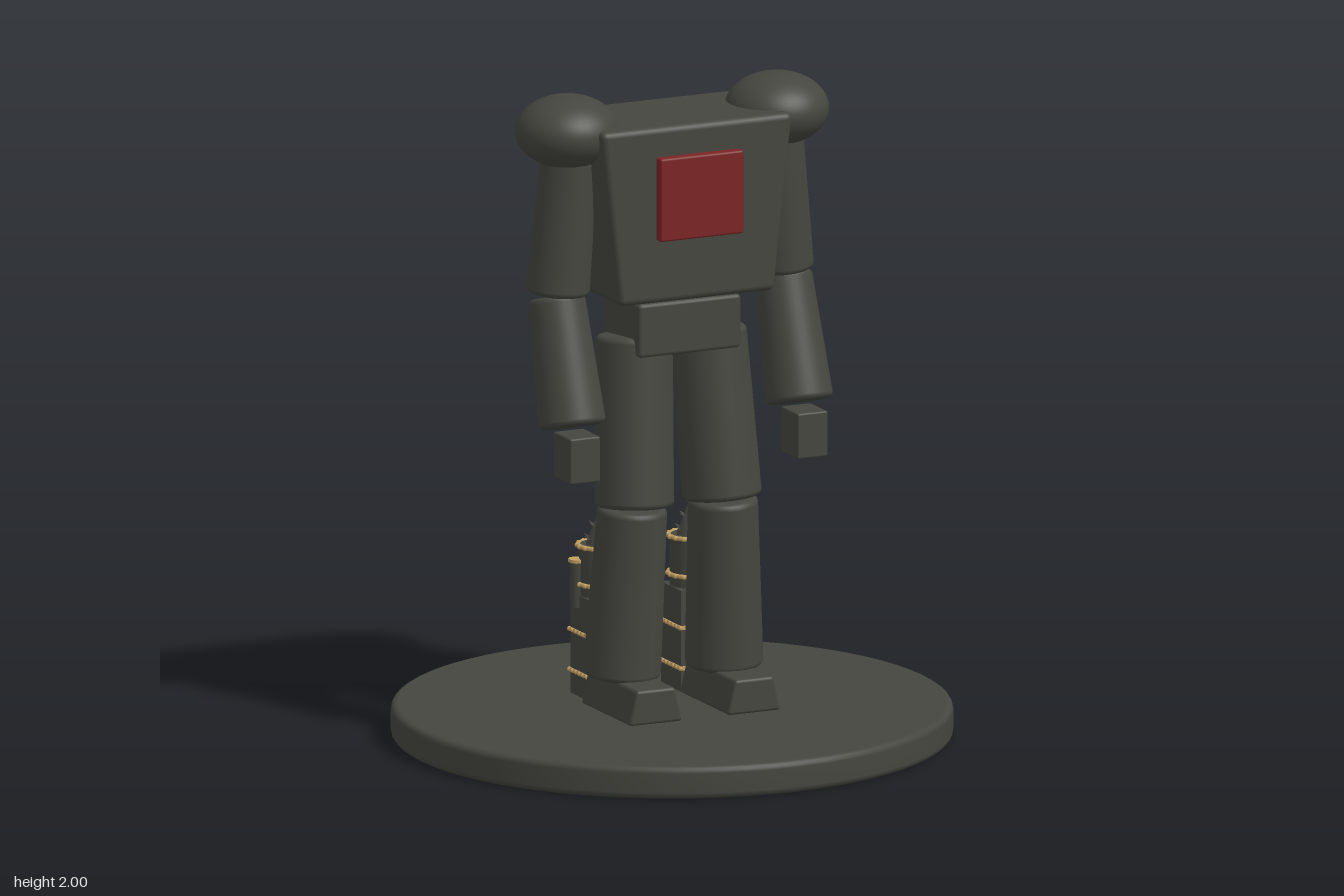
import * as THREE from 'three';
import { RoundedBoxGeometry } from 'three/addons/geometries/RoundedBoxGeometry.js';

const mat = (name, hex) => {
  const m = new THREE.MeshStandardMaterial({ color: hex });
  m.name = name;
  return m;
};

export function createModel() {
  const stone = mat('dark stone', 0x45463f);
  const red = mat('dark red', 0x7c2424);
  const gold = mat('old gold', 0xc4a062);
  const model = new THREE.Group();
  model.name = 'statue';

  const add = (parent, name, geo, material, x = 0, y = 0, z = 0) => {
    const mesh = new THREE.Mesh(geo, material);
    mesh.name = name;
    mesh.position.set(x, y, z);
    parent.add(mesh);
    return mesh;
  };

  // Cylinder along y from 0 to h with softly rounded rims
  const drum = (r0, r1, h, b, seg = 40) => {
    const pts = [[0, 0], [r0 - b, 0]];
    for (let i = 1; i <= 4; i++) {
      const a = (i / 4) * Math.PI / 2;
      pts.push([r0 - b + b * Math.sin(a), b - b * Math.cos(a)]);
    }
    for (let i = 0; i <= 4; i++) {
      const a = (i / 4) * Math.PI / 2;
      pts.push([r1 - b + b * Math.cos(a), h - b + b * Math.sin(a)]);
    }
    pts.push([0, h]);
    return new THREE.LatheGeometry(pts.map(p => new THREE.Vector2(...p)), seg);
  };

  // Tapered limb between a lower and an upper point
  const limb = (parent, name, low, high, r0, r1) => {
    const a = new THREE.Vector3(...low);
    const d = new THREE.Vector3(...high).sub(a);
    const mesh = add(parent, name, drum(r0, r1, d.length(), 0.018), stone, ...low);
    mesh.quaternion.setFromUnitVectors(new THREE.Vector3(0, 1, 0), d.normalize());
  };

  // Rounded box whose width runs from w0 at the bottom to w1 at the top
  const taperBox = (w0, w1, h, d, r) => {
    const geo = new RoundedBoxGeometry(1, h, d, 3, r);
    const wide = new RoundedBoxGeometry(Math.max(w0, w1), h, d, 3, r);
    geo.copy(wide);
    const p = geo.attributes.position, n = geo.attributes.normal, W = Math.max(w0, w1);
    const slope = (w1 - w0) / W / h;
    const v = new THREE.Vector3();
    for (let i = 0; i < p.count; i++) {
      const x = p.getX(i), s = w0 / W + slope * (p.getY(i) + h / 2);
      v.set(n.getX(i) / s, n.getY(i) - n.getX(i) * x * slope / s, n.getZ(i)).normalize();
      p.setX(i, x * s);
      n.setXYZ(i, v.x, v.y, v.z);
    }
    return geo;
  };

  // Base disc
  add(model, 'base', drum(0.84, 0.84, 0.1, 0.02, 72), stone);

  // Trunk
  add(model, 'torso', taperBox(0.512, 0.636, 0.54, 0.354, 0.02), stone, 0, 1.645, 0.002);
  add(model, 'chestPlate', new RoundedBoxGeometry(0.276, 0.255, 0.06, 2, 0.007), red, 0, 1.697, 0.179);
  add(model, 'pelvis', new RoundedBoxGeometry(0.34, 0.165, 0.246, 2, 0.012), stone, 0, 1.28, 0.003);

  for (const s of [-1, 1]) {
    // Arm
    const arm = new THREE.Group();
    arm.name = s > 0 ? 'leftArm' : 'rightArm';
    model.add(arm);
    add(arm, 'shoulder', new THREE.SphereGeometry(0.157, 40, 28), stone, s * 0.347, 1.89, 0).scale.y = 0.7;
    limb(arm, 'upperArm', [s * 0.372, 1.392, -0.016], [s * 0.337, 1.86, 0.001], 0.096, 0.085);
    limb(arm, 'forearm', [s * 0.377, 1.005, 0.098], [s * 0.376, 1.38, -0.015], 0.101, 0.086);
    add(arm, 'hand', new RoundedBoxGeometry(0.1, 0.14, 0.118, 2, 0.006), stone, s * 0.377, 0.92, 0.128);

    // Leg
    const leg = new THREE.Group();
    leg.name = s > 0 ? 'leftLeg' : 'rightLeg';
    model.add(leg);
    limb(leg, 'thigh', [s * 0.146, 0.725, 0.043], [s * 0.122, 1.24, -0.008], 0.119, 0.116);
    limb(leg, 'shin', [s * 0.17, 0.203, 0.006], [s * 0.15, 0.725, 0.039], 0.117, 0.105);
    add(leg, 'foot', taperBox(0.176, 0.126, 0.106, 0.338, 0.01), stone, s * 0.163, 0.152, 0.062);

    // Small tower behind the leg
    const tower = new THREE.Group();
    tower.name = s > 0 ? 'leftTower' : 'rightTower';
    tower.position.set(s * 0.15, 0.1, -0.175);
    model.add(tower);
    add(tower, 'towerBase', new THREE.BoxGeometry(0.138, 0.31, 0.138), stone, 0, 0.155, 0);
    add(tower, 'towerDrum', new THREE.CylinderGeometry(0.067, 0.067, 0.16, 16), stone, 0, 0.385, 0);

    // Square bands edged with beads
    for (const y of [0.072, 0.196]) {
      add(tower, 'squareBand', new THREE.BoxGeometry(0.146, 0.012, 0.146), gold, 0, y, 0);
      for (let i = 0; i < 7; i++) {
        const t = -0.072 + 0.024 * i;
        for (const e of [-0.072, 0.072]) {
          add(tower, 'bandBead', new THREE.SphereGeometry(0.0075, 6, 4), gold, t, y, e);
          add(tower, 'bandBead', new THREE.SphereGeometry(0.0075, 6, 4), gold, e, y, t);
        }
      }
    }

    // Round bands with a scalloped rim
    for (const y of [0.346, 0.462]) {
      const ring = add(tower, 'roundBand', new THREE.TorusGeometry(0.069, 0.007, 6, 24), gold, 0, y, 0);
      ring.rotation.x = Math.PI / 2;
      for (let i = 0; i < 16; i++) {
        const a = (i / 16) * Math.PI * 2;
        add(tower, 'rimBead', new THREE.SphereGeometry(0.008, 6, 4), gold, 0.073 * Math.cos(a), y, 0.073 * Math.sin(a));
      }
    }

    // Spire with thorns and a ball on top
    add(tower, 'spire', new THREE.ConeGeometry(0.048, 0.125, 8), stone, 0, 0.527, 0);
    for (let i = 0; i < 8; i++) {
      const a = (i / 8) * Math.PI * 2;
      for (const [r, y] of [[0.044, 0.485], [0.03, 0.525]]) {
        const thorn = add(tower, 'spireThorn', new THREE.ConeGeometry(0.006, 0.028, 5), stone, r * Math.cos(a), y, r * Math.sin(a));
        thorn.quaternion.setFromUnitVectors(new THREE.Vector3(0, 1, 0),
          new THREE.Vector3(Math.cos(a), 0.7, Math.sin(a)).normalize());
      }
    }
    add(tower, 'spireCollar', new THREE.CylinderGeometry(0.01, 0.014, 0.012, 8), gold, 0, 0.572, 0);
    add(tower, 'spireBall', new THREE.SphereGeometry(0.017, 12, 8), gold, 0, 0.592, 0);

    // Outer turret
    add(tower, 'turret', new THREE.CylinderGeometry(0.022, 0.022, 0.14, 10), stone, s * 0.066, 0.343, -0.027);
    add(tower, 'turretRim', new THREE.CylinderGeometry(0.028, 0.028, 0.01, 10), gold, s * 0.066, 0.415, -0.027);
  }
  return model;
}
